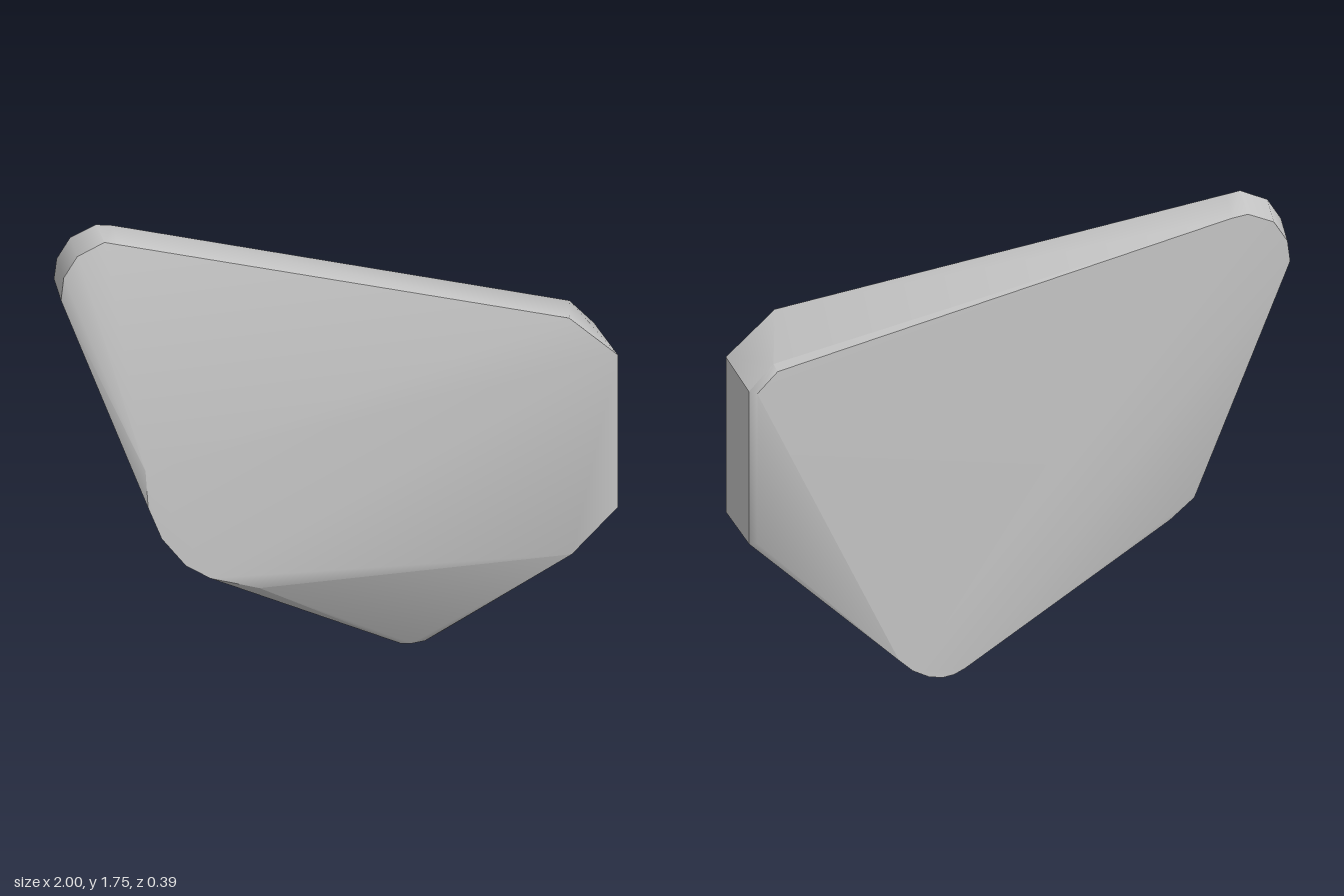
import * as THREE from 'three';
import { toCreasedNormals } from 'three/addons/utils/BufferGeometryUtils.js';
import { ConvexGeometry } from 'three/addons/geometries/ConvexGeometry.js';

// Outline points [x, y] grouped by the depth z at which they lie.
const rings = [
  // front face, with a rounded lower corner at -x
  { z: 0.193, pts: [[0.82, 1.35], [1, 1.18], [1, 0.57], [0.83, 0.4], [-0.32, 0.4],
    [-0.5, 0.46], [-0.59, 0.52], [-0.68, 0.64], [-0.73, 0.77], [-0.74, 0.92]] },
  // rounded tips, top and bottom
  { z: -0.02, pts: [[-0.79, 1.735], [-0.84, 1.745], [-0.94, 1.7], [-0.99, 1.62], [-1, 1.53],
    [0.2, 0.03], [0.25, 0.005], [0.29, 0], [0.34, 0.005], [0.4, 0.035]] },
  // back of the +x side
  { z: -0.095, pts: [[0.89, 1.27], [0.98, 1.17], [0.98, 0.57]] },
  // narrow bevel around the back face
  { z: -0.12, pts: [[0.88, 1.25], [0.955, 1.17], [0.955, 0.58],
    [-0.71, 0.76], [-0.65, 0.6], [-0.56, 0.52]] },
  // back edges of the tips
  { z: -0.193, pts: [[-0.77, 1.72], [-0.83, 1.73], [-0.925, 1.69], [-0.975, 1.61], [-0.985, 1.53],
    [0.21, 0.045], [0.25, 0.025], [0.29, 0.018], [0.34, 0.025], [0.4, 0.055], [0.45, 0.1]] },
];

export function createModel() {
  const group = new THREE.Group();
  group.name = 'rockSlab';
  const stone = new THREE.MeshStandardMaterial({ color: 0xc8c8c8 });
  stone.name = 'pale stone grey';

  // One slab wrapped around the rings, smooth over shallow bends and sharp at the main edges
  const points = rings.flatMap(({ z, pts }) => pts.map(([x, y]) => new THREE.Vector3(x, y, z)));
  const slab = new THREE.Mesh(toCreasedNormals(new ConvexGeometry(points), 0.68), stone);
  slab.name = 'slab';
  group.add(slab);
  return group;
}
